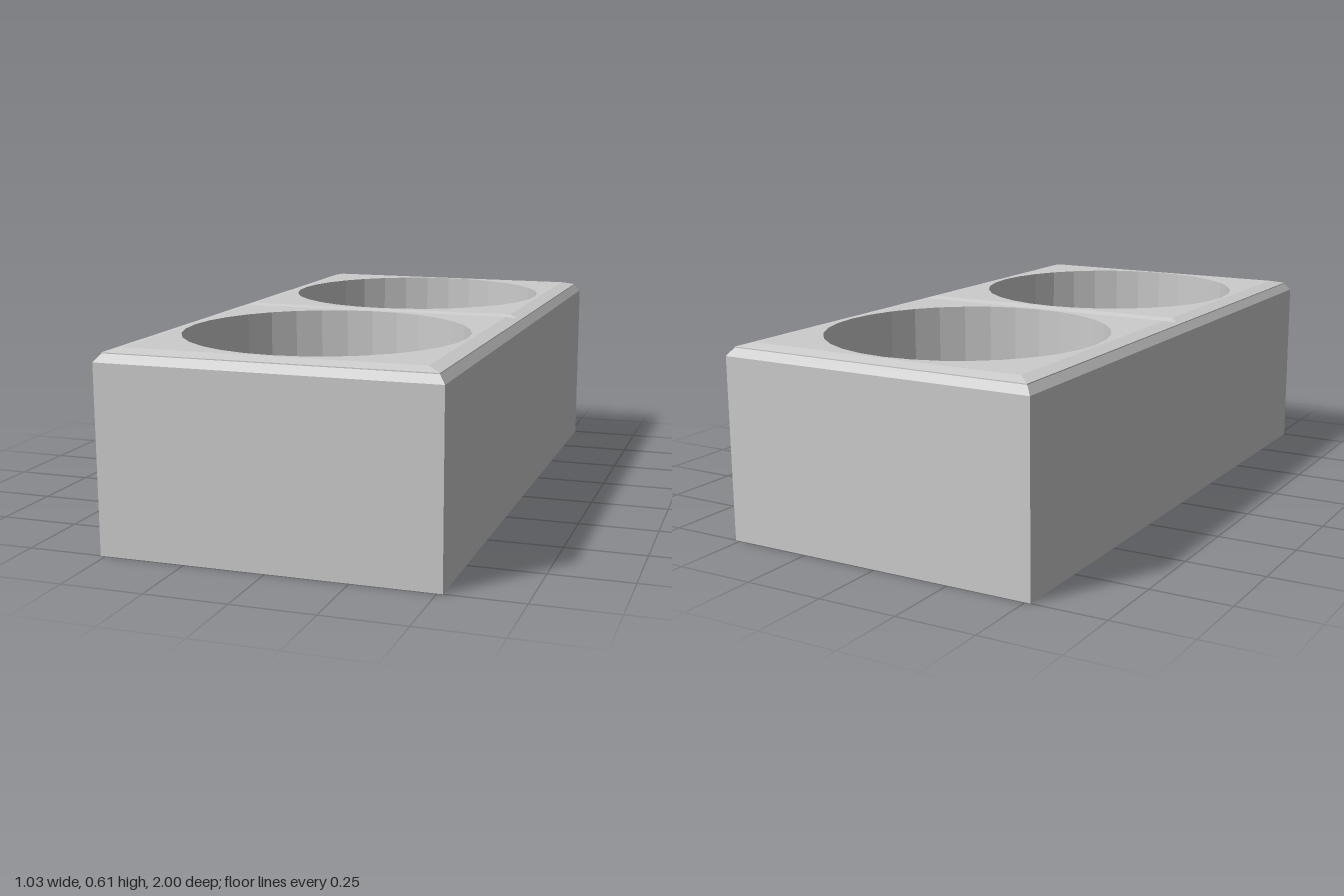
import * as THREE from 'three';

const casing = new THREE.MeshStandardMaterial({ color: 0xcccccc });
casing.name = 'casingGrey';
const contact = new THREE.MeshStandardMaterial({ color: 0x0d0d0d });
contact.name = 'contactBlack';

const TOP = 0.61, FLOOR = 0.205, WELL_R = 0.442, WELL_Z = 0.483, SIDES = 32;

function mesh(name, geometry, material) {
  const m = new THREE.Mesh(geometry, material);
  m.name = name;
  return m;
}

// Flat-faceted skin between rings of [x, y, z] points, anticlockwise from above
function loft(rings) {
  const pos = [];
  for (let r = 0; r + 1 < rings.length; r++) {
    const a = rings[r], b = rings[r + 1], n = a.length;
    for (let i = 0; i < n; i++) {
      const j = (i + 1) % n;
      pos.push(...a[i], ...a[j], ...b[j], ...a[i], ...b[j], ...b[i]);
    }
  }
  const g = new THREE.BufferGeometry();
  g.setAttribute('position', new THREE.Float32BufferAttribute(pos, 3));
  g.computeVertexNormals();
  return g;
}

const rect = (x, z, y) => [[x, y, z], [x, y, -z], [-x, y, -z], [-x, y, z]];

function circleRing(r, y, zc) {
  return Array.from({ length: SIDES }, (_, i) => {
    const t = (i / SIDES) * Math.PI * 2;
    return [r * Math.cos(t), y, zc - r * Math.sin(t)];
  });
}

// One socket: bevelled cover, round well and two contact holes
function createSocket(name) {
  const g = new THREE.Group();
  g.name = name;

  // Sloping border, meeting the neighbouring cover in a shallow groove at z = 0
  const outer = [[0.498, 0.6, 0.981], [0.498, 0.6, 0], [0.485, 0.603, 0],
    [-0.485, 0.603, 0], [-0.498, 0.6, 0], [-0.498, 0.6, 0.981]];
  const inner = [[0.455, TOP, 0.94], [0.455, TOP, 0.03], [0.455, TOP, 0.03],
    [-0.455, TOP, 0.03], [-0.455, TOP, 0.03], [-0.455, TOP, 0.94]];
  g.add(mesh('coverBevel', loft([outer, inner]), casing));

  // Flat cover with a round opening
  const face = new THREE.Shape(
    [[0.455, -0.94], [0.455, -0.03], [-0.455, -0.03], [-0.455, -0.94]]
      .map(([x, y]) => new THREE.Vector2(x, y)));
  face.holes.push(new THREE.Path(
    circleRing(WELL_R, 0, WELL_Z).map(([x, , z]) => new THREE.Vector2(x, -z))));
  const cover = mesh('cover', new THREE.ShapeGeometry(face).rotateX(-Math.PI / 2), casing);
  cover.position.y = TOP;
  g.add(cover);

  // Well wall and floor
  g.add(mesh('wellWall',
    loft([circleRing(WELL_R, TOP, WELL_Z), circleRing(WELL_R, FLOOR, WELL_Z)]), casing));
  const floor = mesh('wellFloor',
    new THREE.CircleGeometry(WELL_R, SIDES).rotateX(-Math.PI / 2), casing);
  floor.position.set(0, FLOOR, WELL_Z);
  g.add(floor);

  // Contact holes
  for (const s of [-1, 1]) {
    const hole = mesh('contactHole',
      new THREE.CylinderGeometry(0.085, 0.085, 0.004, SIDES), contact);
    hole.position.set(0, FLOOR + 0.002, WELL_Z + s * 0.163);
    g.add(hole);
  }
  return g;
}

export function createModel() {
  const model = new THREE.Group();
  model.name = 'doubleSocket';

  // Housing walls with a chamfered top edge
  model.add(mesh('housing', loft([
    rect(0.517, 1, 0), rect(0.517, 1, 0.573),
    rect(0.498, 0.981, 0.597), rect(0.498, 0.981, 0.6),
  ]), casing));
  model.add(mesh('base', new THREE.PlaneGeometry(1.034, 2).rotateX(Math.PI / 2), casing));

  const front = createSocket('frontSocket');
  const back = createSocket('backSocket');
  back.rotation.y = Math.PI;
  model.add(front, back);
  return model;
}
